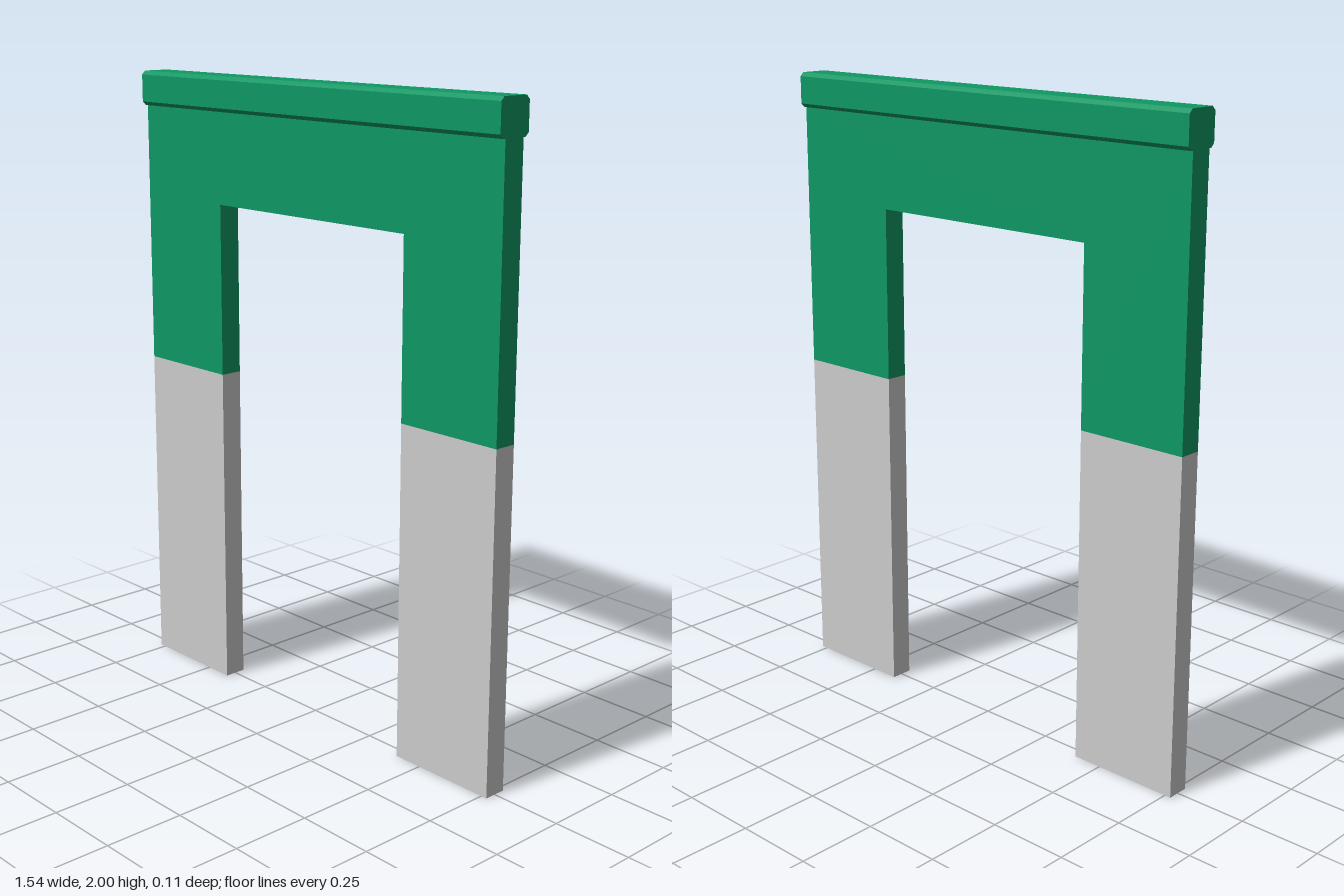
import * as THREE from 'three';

const HALF_W = 0.77, DOOR = 0.405, WALL_Z = 0.036;
const PAINT_Y = 1.05, DOOR_TOP = 1.6, CAP_Y = 1.89, TOP = 2;

// Centred extrusion of a closed outline along z
function extrude(points, depth, material, name) {
  const shape = new THREE.Shape(points.map(([x, y]) => new THREE.Vector2(x, y)));
  const geometry = new THREE.ExtrudeGeometry(shape, { depth, bevelEnabled: false });
  geometry.translate(0, 0, -depth / 2);
  const mesh = new THREE.Mesh(geometry, material);
  mesh.name = name;
  return mesh;
}

export function createModel() {
  const group = new THREE.Group();
  group.name = 'doorwayWall';
  const green = new THREE.MeshStandardMaterial({ color: 0x0f9764, flatShading: true });
  const grey = new THREE.MeshStandardMaterial({ color: 0xcccccc, flatShading: true });

  // Painted upper wall, one piece around the door opening
  group.add(extrude([
    [-HALF_W, PAINT_Y], [-DOOR, PAINT_Y], [-DOOR, DOOR_TOP], [DOOR, DOOR_TOP],
    [DOOR, PAINT_Y], [HALF_W, PAINT_Y], [HALF_W, CAP_Y], [-HALF_W, CAP_Y],
  ], WALL_Z * 2, green, 'upperWall'));

  // Unpainted lower wall on each side of the door
  for (const [side, name] of [[1, 'leftLowerWall'], [-1, 'rightLowerWall']]) {
    const leg = new THREE.Mesh(new THREE.BoxGeometry(HALF_W - DOOR, PAINT_Y, WALL_Z * 2), grey);
    leg.position.set(side * (HALF_W + DOOR) / 2, PAINT_Y / 2, 0);
    leg.name = name;
    group.add(leg);
  }

  // Chamfered cap rail running along the top
  const z = 0.056, c = 0.012;
  const cap = extrude([
    [-z + c, CAP_Y], [z - c, CAP_Y], [z, CAP_Y + c], [z, TOP - c],
    [z - c, TOP], [-z + c, TOP], [-z, TOP - c], [-z, CAP_Y + c],
  ], HALF_W * 2, green, 'capRail');
  cap.rotation.y = Math.PI / 2;
  group.add(cap);

  return group;
}
